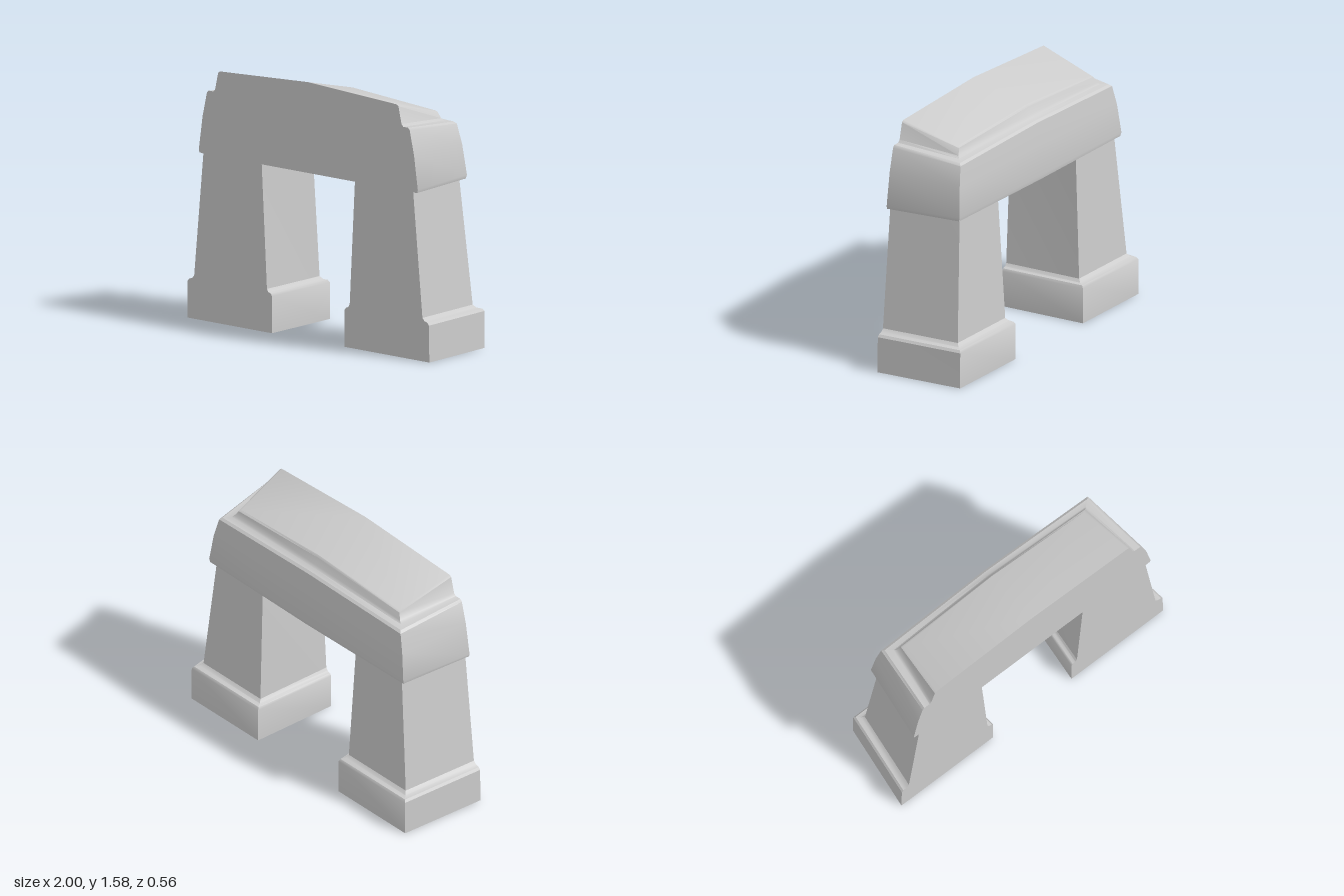
import * as THREE from 'three';
import { toCreasedNormals } from 'three/addons/utils/BufferGeometryUtils.js';

const FRONT = 0.28; // flat front plane

// Skins a stack of matching loops (clockwise from above) and closes both ends.
function loft(loops) {
  const pos = [];
  const tri = (a, b, c) => pos.push(...a, ...b, ...c);
  const n = loops[0].length;
  for (let l = 0; l < loops.length - 1; l++) {
    const lo = loops[l], hi = loops[l + 1];
    for (let i = 0; i < n; i++) {
      const j = (i + 1) % n;
      tri(lo[i], hi[i], hi[j]);
      tri(lo[i], hi[j], lo[j]);
    }
  }
  const bottom = loops[0], top = loops[loops.length - 1];
  for (let i = 0; i < n - 2; i++) {
    tri(bottom[n - 1], bottom[i], bottom[i + 1]);
    tri(top[n - 1], top[i + 1], top[i]);
  }
  const g = new THREE.BufferGeometry();
  g.setAttribute('position', new THREE.Float32BufferAttribute(pos, 3));
  return toCreasedNormals(g, 0.6);
}

// Leg sections: y, inner and outer x at the front, inner and outer x at the back, back z
const plinthLevels = [
  [0.00, 0.30, 1.00, 0.35, 0.93, -0.275],
  [0.225, 0.30, 0.997, 0.35, 0.928, -0.275],
  [0.24, 0.31, 0.985, 0.357, 0.918, -0.265],
  [0.247, 0.33, 0.96, 0.372, 0.895, -0.24],
  [0.265, 0.342, 0.943, 0.385, 0.88, -0.223],
];
const shaftLevels = [
  [0.265, 0.342, 0.943, 0.385, 0.88, -0.223],
  [1.02, 0.385, 0.867, 0.405, 0.807, -0.185],
];

function legGeometry(levels, side) {
  return loft(levels.map(([y, inF, outF, inB, outB, zB]) => {
    const loop = [[inF, y, FRONT], [inB, y, zB], [outB, y, zB], [outF, y, FRONT]];
    return side > 0 ? loop : loop.reverse().map(([x, h, z]) => [-x, h, z]);
  }));
}

// Lintel sections: front x, y | back corner x, y, z | back middle y, z | front middle y
const lintelLevels = [
  [0.865, 1.02, 0.805, 1.02, -0.185, 1.02, -0.195, 1.02],
  [0.90, 1.022, 0.84, 1.032, -0.205, 1.035, -0.218, 1.022],
  [0.905, 1.04, 0.845, 1.055, -0.21, 1.06, -0.222, 1.04],
  [0.873, 1.25, 0.82, 1.24, -0.195, 1.255, -0.207, 1.25],
  [0.838, 1.395, 0.79, 1.365, -0.18, 1.39, -0.19, 1.395],
  [0.825, 1.41, 0.775, 1.378, -0.165, 1.403, -0.175, 1.41],
];
// Cap sections in the same layout
const capLevels = [
  [0.825, 1.41, 0.775, 1.378, -0.165, 1.403, -0.175, 1.41],
  [0.785, 1.41, 0.735, 1.385, -0.13, 1.412, -0.145, 1.415],
  [0.77, 1.425, 0.72, 1.397, -0.117, 1.427, -0.13, 1.43],
  [0.745, 1.53, 0.70, 1.437, -0.105, 1.475, -0.115, 1.56],
  [0.73, 1.54, 0.688, 1.445, -0.093, 1.487, -0.105, 1.575],
];

function beamGeometry(levels) {
  return loft(levels.map(([xF, yF, xB, yB, zB, yM, zM, yFM]) => [
    [-xF, yF, FRONT], [-xB, yB, zB], [0, yM, zM],
    [xB, yB, zB], [xF, yF, FRONT], [0, yFM, FRONT],
  ]));
}

export function createModel() {
  const model = new THREE.Group();
  model.name = 'stoneArch';
  const stone = new THREE.MeshStandardMaterial({ color: 0xcccccc });
  stone.name = 'paleStone';

  const add = (name, geometry, parent = model) => {
    const mesh = new THREE.Mesh(geometry, stone);
    mesh.name = name;
    parent.add(mesh);
  };

  // Two mirrored legs
  for (const [side, label] of [[1, 'left'], [-1, 'right']]) {
    const leg = new THREE.Group();
    leg.name = label + 'Leg';
    add(label + 'Plinth', legGeometry(plinthLevels, side), leg);
    add(label + 'Shaft', legGeometry(shaftLevels, side), leg);
    model.add(leg);
  }

  // Beam across the legs and the stepped, sloping cap on it
  add('lintel', beamGeometry(lintelLevels));
  add('cap', beamGeometry(capLevels));
  return model;
}
